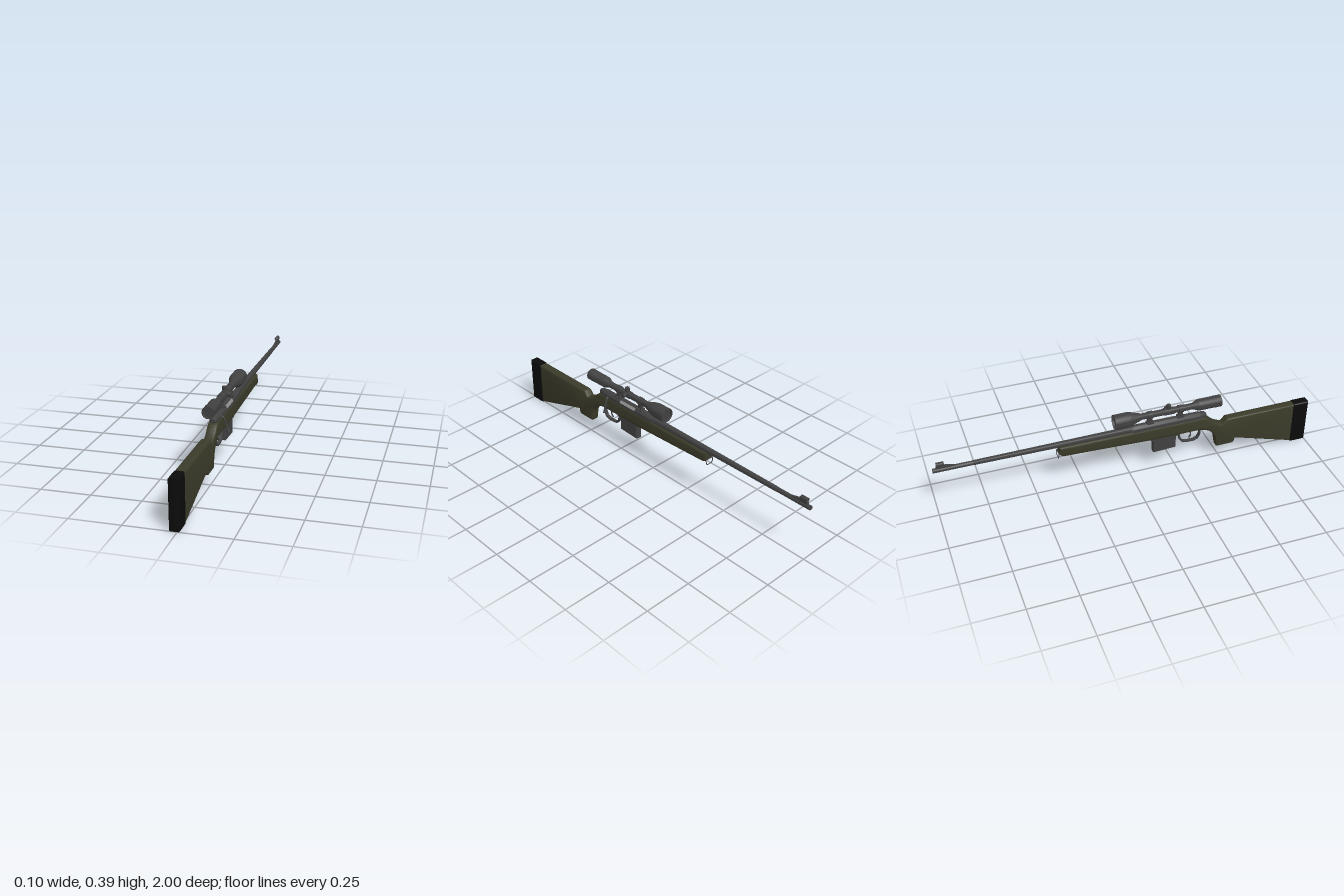
import * as THREE from 'three';
import { toCreasedNormals } from 'three/addons/utils/BufferGeometryUtils.js';

const CX = -0.012; // centre plane of the rifle
const AXIS = 0.29; // bore height
const SIGHT = 0.356; // scope height

const mat = (name, color, side = THREE.FrontSide) => {
  const m = new THREE.MeshStandardMaterial({ color, side });
  m.name = name;
  return m;
};

export function createModel() {
  const model = new THREE.Group();
  model.name = 'rifle';
  const olive = mat('olive stock', 0x3b3b2a);
  const rubber = mat('black rubber', 0x0b0b0b);
  const steel = mat('dark steel', 0x414141, THREE.DoubleSide);
  const bright = mat('bright steel', 0x8c8c8c);

  const add = (name, geo, material, x = 0, y = 0, z = 0, parent = model) => {
    const mesh = new THREE.Mesh(geo, material);
    mesh.name = name;
    mesh.position.set(x, y, z);
    parent.add(mesh);
    return mesh;
  };
  // side profile in (z, y), thickened along x with softened edges
  const slab = (shape, width, bevel, segments = 3) => {
    const g = new THREE.ExtrudeGeometry(shape, {
      depth: width - 2 * bevel, bevelEnabled: bevel > 0, bevelSize: bevel, bevelThickness: bevel,
      bevelOffset: -bevel, bevelSegments: segments, curveSegments: 8,
    });
    g.translate(0, 0, bevel - width / 2).rotateY(-Math.PI / 2);
    return toCreasedNormals(g, 0.6);
  };
  const poly = (pts) => new THREE.Shape(pts.map(([z, y]) => new THREE.Vector2(z, y)));
  // turned part along z, from [radius, z] points with z rising
  const turned = (pts, sides = 24) => {
    const g = new THREE.LatheGeometry(pts.map(([r, z]) => new THREE.Vector2(r, z)), sides);
    return toCreasedNormals(g.rotateX(Math.PI / 2), 0.6);
  };
  const wire = (pts, r, closed = false, tension = 0.5) => new THREE.TubeGeometry(
    new THREE.CatmullRomCurve3(pts.map((p) => new THREE.Vector3(...p)), closed, 'catmullrom', tension), 40, r, 8, closed);

  // stock with grip and fore-end
  const s = new THREE.Shape();
  s.moveTo(0.917, 0.243);
  s.lineTo(0.53, 0.241);
  s.lineTo(0.505, 0.215);
  s.quadraticCurveTo(0.46, 0.228, 0.435, 0.258);
  s.quadraticCurveTo(0.41, 0.283, 0.375, 0.283);
  s.lineTo(-0.375, 0.28);
  s.lineTo(-0.38, 0.245);
  s.quadraticCurveTo(-0.375, 0.228, -0.345, 0.226);
  s.lineTo(0.11, 0.208);
  s.lineTo(0.25, 0.208);
  s.lineTo(0.37, 0.208);
  s.quadraticCurveTo(0.455, 0.198, 0.468, 0.125);
  s.lineTo(0.476, 0.078);
  s.lineTo(0.565, 0.078);
  s.quadraticCurveTo(0.582, 0.085, 0.58, 0.108);
  s.lineTo(0.917, 0.004);
  add('stock', slab(s, 0.05, 0.01), olive, CX);

  // butt pad
  add('buttPad', slab(poly([[0.915, 0.003], [0.93, 0], [1, 0], [1, 0.245], [0.915, 0.245]]), 0.0515, 0.008), rubber, CX);

  // barrel, receiver and bolt shroud
  add('barrel', turned([
    [0.006, -0.975], [0.007, -1], [0.0115, -1], [0.0115, -0.81], [0.0125, -0.8], [0.0155, -0.3],
    [0.017, -0.05], [0.02, 0.02],
  ]), steel, CX, AXIS);
  add('receiver', turned([
    [0, 0], [0.02, 0], [0.0225, 0.02], [0.0225, 0.375], [0.02, 0.38], [0.019, 0.4], [0.012, 0.412], [0, 0.415],
  ]), steel, CX, AXIS - 0.002);
  add('receiverBed', new THREE.BoxGeometry(0.044, 0.02, 0.36), steel, CX, 0.281, 0.19);

  // ejection port showing the bolt body
  const port = add('ejectionPort', new THREE.BoxGeometry(0.006, 0.016, 0.11), bright, CX + 0.0175, 0.3, 0.185);
  port.rotation.z = 0.65;

  // bolt handle
  const bolt = new THREE.Group();
  bolt.name = 'boltHandle';
  model.add(bolt);
  add('boltArm', wire([[0.004, 0.288, 0.335], [0.016, 0.284, 0.335], [0.024, 0.268, 0.333], [0.038, 0.226, 0.33]], 0.0048),
    steel, 0, 0, 0, bolt);
  const knob = add('boltKnob', new THREE.CylinderGeometry(0.0055, 0.0075, 0.026, 14), steel, 0.0395, 0.22, 0.33, bolt);
  knob.rotation.z = 0.32;

  // magazine
  add('magazine', slab(poly([[0.245, 0.128], [0.245, 0.23], [0.122, 0.23], [0.122, 0.123]]), 0.034, 0.003, 1), steel, CX);
  add('magazineCollar', new THREE.BoxGeometry(0.04, 0.008, 0.16), steel, CX, 0.207, 0.185);

  // trigger guard and trigger
  const outer = poly([[0.255, 0.212], [0.267, 0.165], [0.285, 0.143], [0.31, 0.138], [0.35, 0.138], [0.373, 0.148],
    [0.386, 0.175], [0.384, 0.212]]);
  outer.holes.push(poly([[0.268, 0.206], [0.378, 0.206], [0.379, 0.176], [0.368, 0.154], [0.349, 0.145], [0.311, 0.145],
    [0.289, 0.15], [0.274, 0.169]]));
  add('triggerGuard', slab(outer, 0.018, 0), steel, CX);
  add('trigger', wire([[0, 0.212, 0.325], [0, 0.19, 0.332], [0, 0.173, 0.332], [0, 0.16, 0.322]], 0.004), steel, CX);

  // scope body with recessed lenses
  add('scopeBody', turned([
    [0, -0.075], [0.034, -0.075], [0.035, -0.087], [0.038, -0.087], [0.038, -0.015], [0.034, 0.005], [0.0165, 0.06],
    [0.0165, 0.335], [0.028, 0.362], [0.03, 0.37], [0.03, 0.45], [0.031, 0.452], [0.031, 0.49], [0.027, 0.49],
    [0.026, 0.478], [0, 0.478],
  ]), steel, CX, SIGHT);

  // adjustment turrets
  add('turretCollar', turned([[0.0165, 0.18], [0.0195, 0.18], [0.0195, 0.232], [0.0165, 0.232]]), steel, CX, SIGHT);
  add('topTurret', new THREE.CylinderGeometry(0.012, 0.012, 0.022, 16), steel, CX, 0.383, 0.205);
  const sideTurret = add('sideTurret', new THREE.CylinderGeometry(0.012, 0.012, 0.018, 16), steel, 0.0125, SIGHT, 0.205);
  sideTurret.rotation.z = Math.PI / 2;

  // scope mounts
  for (const z of [0.27, 0.105]) {
    const mount = new THREE.Group();
    mount.name = 'scopeMount';
    mount.position.set(CX, 0, z);
    model.add(mount);
    add('mountRing', turned([[0.0165, -0.013], [0.02, -0.013], [0.02, 0.013], [0.0165, 0.013]]), steel, 0, SIGHT, 0, mount);
    add('mountPost', new THREE.BoxGeometry(0.018, 0.036, 0.024), steel, 0, 0.325, 0, mount);
    add('mountBase', new THREE.BoxGeometry(0.028, 0.01, 0.036), steel, 0, 0.31, 0, mount);
    const screw = add('mountScrew', new THREE.CylinderGeometry(0.005, 0.005, 0.01, 12), steel, 0.017, 0.313, 0, mount);
    screw.rotation.z = Math.PI / 2;
  }

  // front sight: ramp, blade and hood
  add('sightRamp', slab(poly([[-0.865, 0.295], [-0.93, 0.312], [-0.98, 0.312], [-0.985, 0.295]]), 0.012, 0), steel, CX);
  add('sightBlade', new THREE.BoxGeometry(0.003, 0.014, 0.012), steel, CX, 0.316, -0.96);
  add('sightHood', turned([[0.0095, -0.98], [0.0115, -0.98], [0.0115, -0.942], [0.0095, -0.942], [0.0095, -0.98]], 16),
    steel, CX, 0.322);

  // sling swivel under the fore-end tip
  add('slingStud', new THREE.BoxGeometry(0.046, 0.008, 0.008), steel, CX, 0.247, -0.378);
  add('slingLoop', wire([[-0.022, 0.247, -0.38], [-0.022, 0.23, -0.384], [-0.014, 0.216, -0.382], [0.014, 0.216, -0.382],
    [0.022, 0.23, -0.384], [0.022, 0.247, -0.38]], 0.0022, true, 0.1), steel, CX);

  return model;
}
